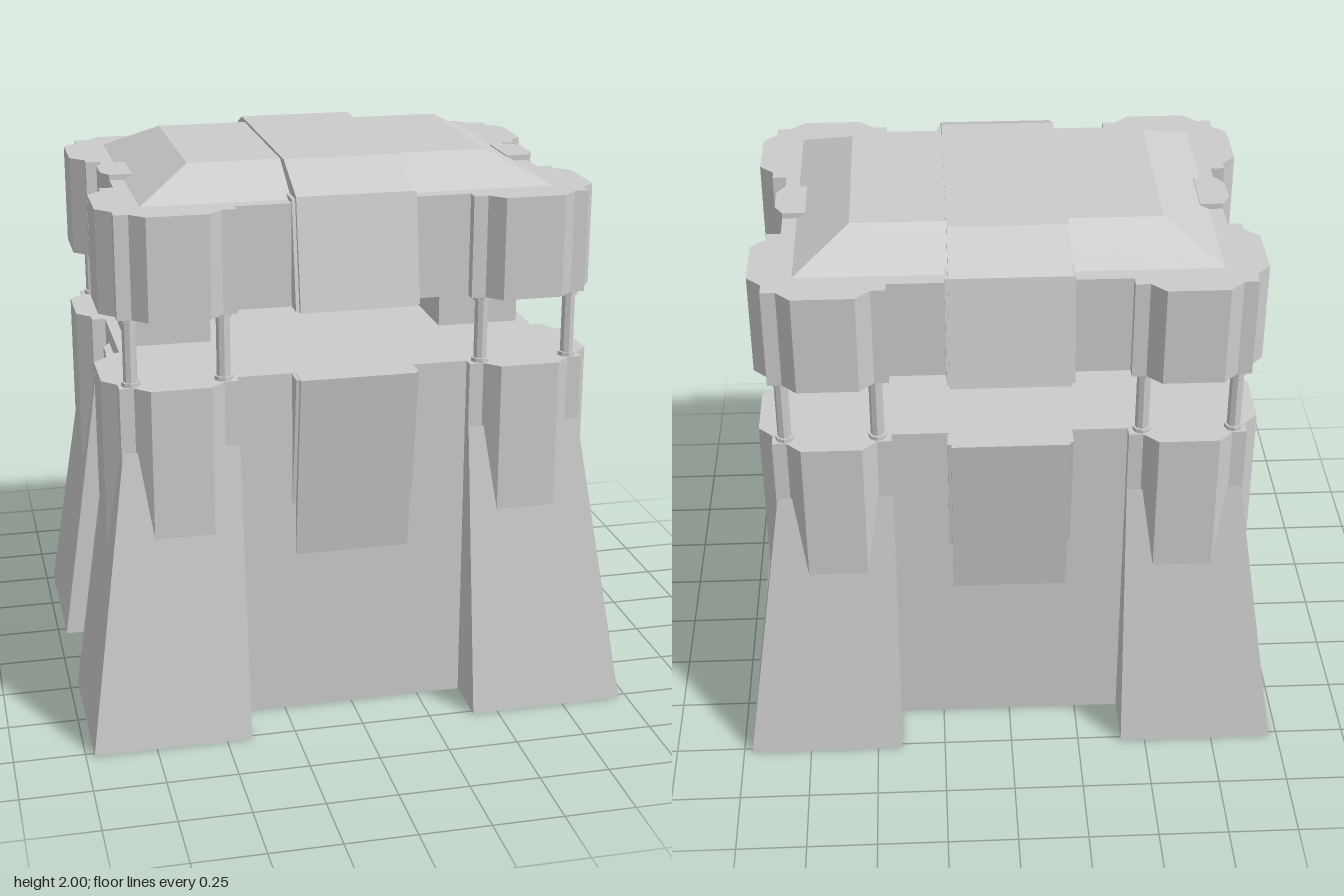
import * as THREE from 'three';

const material = new THREE.MeshStandardMaterial({ color: 0xcccccc, flatShading: true, side: THREE.DoubleSide });

// Mirror a quadrant of [x, z] points (ordered from +x side to +z side) into a closed ring
function mirror4(q) {
  const r = [...q].reverse();
  return [
    ...q,
    ...r.map(([x, z]) => [-x, z]),
    ...q.map(([x, z]) => [-x, -z]),
    ...r.map(([x, z]) => [x, -z]),
  ];
}

// Walls between two rings of equal length, with optional flat caps
function loft(low, y0, high, y1, capTop = true, capBottom = false) {
  const pos = [];
  const put = (p, y) => pos.push(p[0], y, p[1]);
  low.forEach((a, i) => {
    const j = (i + 1) % low.length;
    put(a, y0); put(high[i], y1); put(high[j], y1);
    put(a, y0); put(high[j], y1); put(low[j], y0);
  });
  const cap = (ring, y, up) => {
    const v = ring.map(([x, z]) => new THREE.Vector2(x, z));
    for (const [a, b, c] of THREE.ShapeUtils.triangulateShape(v, [])) {
      const area = (v[b].x - v[a].x) * (v[c].y - v[a].y) - (v[b].y - v[a].y) * (v[c].x - v[a].x);
      const order = (area < 0) === up ? [a, b, c] : [a, c, b];
      order.forEach((k) => put(ring[k], y));
    }
  };
  if (capTop) cap(high, y1, true);
  if (capBottom) cap(low, y0, false);
  const g = new THREE.BufferGeometry();
  g.setAttribute('position', new THREE.Float32BufferAttribute(pos, 3));
  g.computeVertexNormals();
  return g;
}

// Extrude a [z, y] profile along x, centred at x = 0
function slab(profile, width) {
  const shape = new THREE.Shape(profile.map(([z, y]) => new THREE.Vector2(z, y)));
  return new THREE.ExtrudeGeometry(shape, { depth: width, bevelEnabled: false })
    .translate(0, 0, -width / 2)
    .rotateY(-Math.PI / 2);
}

export function createModel() {
  const model = new THREE.Group();
  const add = (name, geometry, x = 0, y = 0, z = 0, parent = model) => {
    const m = new THREE.Mesh(geometry, material);
    m.name = name;
    m.position.set(x, y, z);
    parent.add(m);
    return m;
  };

  // Plan with four notched corner lobes
  const plan = mirror4([
    [0.77, 0.21], [0.82, 0.21], [0.82, 0.25], [0.87, 0.30], [0.87, 0.51], [0.82, 0.56], [0.82, 0.61],
    [0.77, 0.61], [0.72, 0.66], [0.51, 0.66], [0.46, 0.61], [0.41, 0.61], [0.41, 0.57],
  ]);
  // Plan of the flared footing, whose corners move in with height
  const footing = (d) => mirror4([
    [0.77, 0.21], [0.97 - d, 0.21], [0.97 - d, 0.77 - d], [0.41, 0.77 - d], [0.41, 0.57],
  ]);

  // Lower body, hollow and open below
  add('flaredFooting', loft(footing(0), 0, footing(0.155), 1.06, false));
  add('lowerBody', loft(plan, 0.69, plan, 1.29));

  // Upper block and hipped roof
  add('upperBlock', loft(plan, 1.53, plan, 1.89, true, true));
  add('roof', loft(mirror4([[0.72, 0.515]]), 1.89, mirror4([[0.53, 0.33]]), 1.99));

  // Central band over the roof, with slimmer edging plates
  const half = [[0.66, 1.53], [0.59, 1.915], [0.39, 2.0]];
  const band = [...half, ...[...half].reverse().map(([z, y]) => [-z, y])];
  add('roofBand', slab(band, 0.41));
  for (const s of [1, -1]) {
    add('upperBandEdge', slab([[0.48 * s, 1.53], [0.64 * s, 1.53], [0.575 * s, 1.905], [0.48 * s, 1.905]], 0.434));
    // Panels that lean outward on the lower body
    add('lowerPanel', slab([[0.565 * s, 0.57], [0.66 * s, 1.29], [0.565 * s, 1.29]], 0.41));
    add('lowerPanelEdge', slab([[0.565 * s, 0.77], [0.64 * s, 1.288], [0.565 * s, 1.288]], 0.434));
  }

  // Faceted ribs on both sides
  const rodGeo = new THREE.CylinderGeometry(0.024, 0.024, 0.24, 8);
  const collarGeo = new THREE.CylinderGeometry(0.032, 0.032, 0.015, 8);
  for (const s of [1, -1]) {
    const rib = [[0.69, 0.10], [0.77, 0.10], [0.797, 0.055], [0.797, -0.055], [0.77, -0.10], [0.69, -0.10]]
      .map(([x, z]) => [x * s, z * s]).reverse();
    add('lowerRib', loft(rib, 0, rib, 1.23));
    add('upperRib', loft(rib, 1.58, rib, 1.91, true, true));

    // Columns carrying the upper block
    add('column', new THREE.BoxGeometry(0.3, 0.26, 0.3), 0.58 * s, 1.41, 0);
    add('columnClip', new THREE.BoxGeometry(0.02, 0.08, 0.2), 0.42 * s, 1.49, 0);

    // Slim rods at the corner lobes
    for (const t of [1, -1]) {
      for (const x of [0.777, 0.457]) {
        const rod = new THREE.Group();
        rod.name = 'cornerRod';
        rod.position.set(x * s, 0, 0.575 * t);
        add('rodShaft', rodGeo, 0, 1.41, 0, rod);
        add('rodFoot', collarGeo, 0, 1.297, 0, rod);
        add('rodHead', collarGeo, 0, 1.522, 0, rod);
        model.add(rod);
      }
    }
  }

  // Square recessed sockets under the right-hand lobes
  const ring = [[0.06, 1.53], [0.07, 1.5], [0.125, 1.5], [0.153, 1.53]].map(([r, y]) => new THREE.Vector2(r, y));
  for (const t of [1, -1]) {
    add('socket', new THREE.LatheGeometry(ring, 4).rotateY(Math.PI / 4), -0.615, 0, 0.41 * t);
  }

  return model;
}
